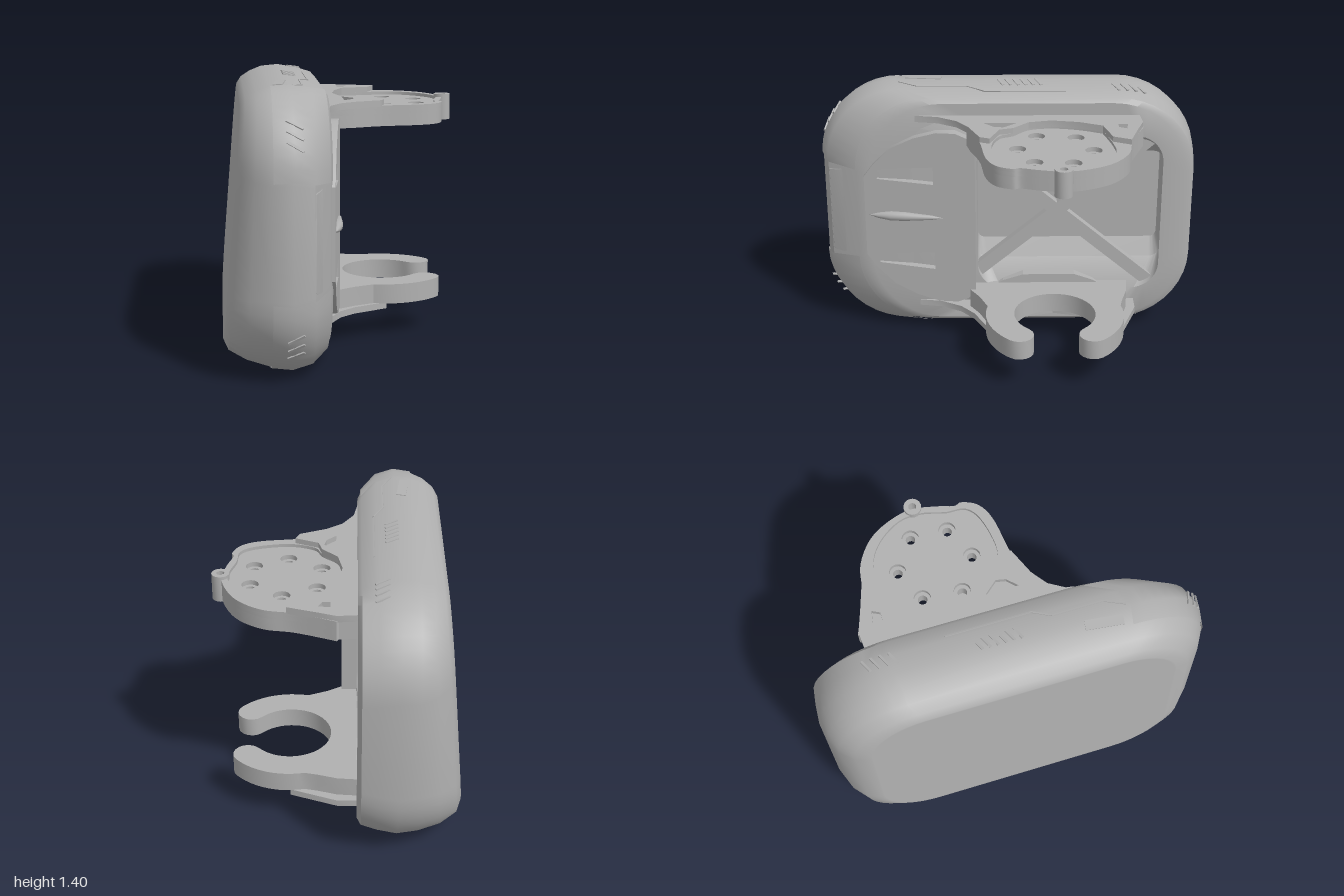
import * as THREE from 'three';
import { toCreasedNormals } from 'three/addons/utils/BufferGeometryUtils.js';

const grey = new THREE.MeshStandardMaterial({ color: 0xb0b0b0, side: THREE.DoubleSide });
grey.name = 'plain grey';
const MID = 0.7; // mirror height of the housing
const N = 10; // segments per rounded corner

function add(parent, name, geometry) {
  const mesh = new THREE.Mesh(geometry, grey);
  mesh.name = name;
  parent.add(mesh);
  return mesh;
}

// Rounded rectangle in the z-y plane; x leans with height by k
function ring({ x, z0, z1, y0, y1, r, k = 0 }) {
  const out = [];
  const centres = [[z1 - r, y1 - r], [z0 + r, y1 - r], [z0 + r, y0 + r], [z1 - r, y0 + r]];
  centres.forEach(([cz, cy], q) => {
    for (let i = 0; i <= N; i++) {
      const a = (q + i / N) * Math.PI / 2;
      const y = cy + r * Math.sin(a);
      out.push(new THREE.Vector3(x + k * (y - MID), y, cz + r * Math.cos(a)));
    }
  });
  return out;
}

// Skin through successive loops, optionally closed round and capped
function loft(loops, crease, closed = true) {
  const n = loops[0].length, pos = [];
  const tri = (...ps) => ps.forEach(p => pos.push(p.x, p.y, p.z));
  for (let l = 0; l < loops.length - 1; l++) {
    for (let i = 0; i < (closed ? n : n - 1); i++) {
      const j = (i + 1) % n, A = loops[l], B = loops[l + 1];
      tri(A[i], B[i], A[j]);
      tri(B[i], B[j], A[j]);
    }
  }
  if (closed) {
    const first = loops[0], last = loops[loops.length - 1];
    const mean = ps => ps.reduce((s, p) => s.add(p), new THREE.Vector3()).divideScalar(n);
    const c0 = mean(first), c1 = mean(last);
    for (let i = 0; i < n; i++) {
      const j = (i + 1) % n;
      tri(c0, first[i], first[j]);
      tri(c1, last[j], last[i]);
    }
  }
  const g = new THREE.BufferGeometry();
  g.setAttribute('position', new THREE.Float32BufferAttribute(pos, 3));
  return toCreasedNormals(g, crease);
}

const circle = (x, z, r) => Array.from({ length: 20 }, (_, i) => {
  const a = i / 20 * Math.PI * 2;
  return [x + r * Math.cos(a), z + r * Math.sin(a)];
});

const smooth = pts => new THREE.SplineCurve(pts.map(p => new THREE.Vector2(...p)))
  .getPoints(pts.length * 4).map(p => [p.x, p.y]);

function extrude(pts, holes, depth) {
  const vec = list => list.map(([a, b]) => new THREE.Vector2(a, b));
  const shape = new THREE.Shape(vec(pts));
  holes.forEach(h => shape.holes.push(new THREE.Path(vec(h))));
  return new THREE.ExtrudeGeometry(shape, { depth, bevelEnabled: false });
}

// Horizontal plate from x-z outlines between two heights
function plate(pts, holes, y0, y1) {
  const flip = list => list.map(([x, z]) => [x, -z]);
  const g = extrude(flip(pts), holes.map(flip), y1 - y0);
  g.rotateX(-Math.PI / 2).translate(0, y0, 0);
  return toCreasedNormals(g, 0.5);
}

function buildHousing(root) {
  const back = { x: -0.585, k: 0.084, z0: -0.8, z1: 0.79, y0: 0.13, y1: 1.30, r: 0.30 };
  const outer = [
    back,
    { x: -0.56, k: 0.08, z0: -0.875, z1: 0.86, y0: 0.085, y1: 1.335, r: 0.34 },
    { x: -0.49, k: 0.05, z0: -0.945, z1: 0.935, y0: 0.045, y1: 1.365, r: 0.38 },
    { x: -0.4, k: 0.01, z0: -0.985, z1: 0.982, y0: 0.01, y1: 1.39, r: 0.42 },
    { x: -0.3, z0: -1, z1: 1, y0: 0.003, y1: 1.397, r: 0.42 },
    { x: -0.2, z0: -0.995, z1: 0.965, y0: 0.022, y1: 1.38, r: 0.42 },
    { x: -0.12, z0: -0.985, z1: 0.81, y0: 0.05, y1: 1.355, r: 0.41 },
    { x: -0.1, z0: -0.94, z1: 0.74, y0: 0.07, y1: 1.335, r: 0.39 },
  ];
  // Flat back, set just inside its edge
  const flat = { ...back, z0: -0.79, z1: 0.78, y0: 0.14, y1: 1.29, r: 0.29 };
  // Open side: flat rim, sloping ledge, then straight walls to the floor
  const cavity = [
    { x: -0.1, z0: -0.82, z1: 0.17, y0: 0.25, y1: 1.15, r: 0.15 },
    { x: -0.19, z0: -0.835, z1: 0.17, y0: 0.4, y1: 1.03, r: 0.06 },
    { x: -0.42, z0: -0.84, z1: 0.17, y0: 0.41, y1: 1.02, r: 0.04 },
  ];
  add(root, 'housing', loft([flat, ...outer, ...cavity].map(ring), 0.6));

  // Raised plates on the two front corners
  const e = 0.012;
  const grown = outer.slice(3, 7).map(o => ring({ ...o, x: o.x + 0.004, z1: o.z1 + e / 2, y0: o.y0 - e / 4, y1: o.y1 + e / 4, r: o.r - e }));
  for (const [name, q] of [['upperFrontCornerPlate', 0], ['lowerFrontCornerPlate', 3]]) {
    add(root, name, loft(grown.map(l => l.slice(q * (N + 1), (q + 1) * (N + 1))), 1, false));
  }

  // Crossed bracing over the cavity, with a tapered support beside each arm
  for (const s of [-1, 1]) {
    const bar = add(root, 'crossBrace', new THREE.BoxGeometry(0.05, 0.07, 1.38));
    bar.position.set(-0.14, 0.715, -0.26);
    bar.rotation.x = s * 0.7;
    const support = [[0.13, 0.46], [0.03, 0.4], [-0.08, 0.365], [-0.36, 0.365], [-0.46, 0.4], [-0.56, 0.46]];
    const g = extrude(support.map(([z, h]) => [-z, MID + s * h]), [], 0.1);
    add(root, 'armSupport', g.rotateY(Math.PI / 2).translate(-0.2, 0, 0));
  }
}

function buildFrontCover(root) {
  // Tapering block: z, face x, face half height, base x, base half height
  const stations = [
    [0.18, -0.065, 0.44, -0.105, 0.56], [0.35, -0.08, 0.48, -0.105, 0.56], [0.6, -0.11, 0.42, -0.125, 0.52],
    [0.78, -0.12, 0.28, -0.15, 0.44], [0.9, -0.165, 0.24, -0.18, 0.34], [0.96, -0.195, 0.23, -0.21, 0.26], [0.975, -0.24, 0.22, -0.25, 0.24],
  ];
  const loops = stations.map(([z, x, h, bx, b]) => [[x, h], [x, -h], [bx, -b], [-0.33, -b], [-0.33, b], [bx, b]]
    .map(([px, dy]) => new THREE.Vector3(px, MID + dy, z)));
  add(root, 'frontCoverBase', loft(loops, 0.3));

  // Sloping face panel with two slots
  const half = [[0.18, 0.42], [0.22, 0.47], [0.28, 0.495], [0.38, 0.495], [0.5, 0.46], [0.62, 0.40], [0.72, 0.30], [0.77, 0.23]];
  const outline = [...half.map(([z, h]) => [-z, MID + h]), ...half.slice().reverse().map(([z, h]) => [-z, MID - h])];
  const slot = s => [[0.4, 0.3], [0.4, 0.2], [0.7, 0.22], [0.7, 0.275]].map(([z, h]) => [-z, MID + s * h]);
  const g = extrude(outline, [slot(1), slot(-1)], 0.055).rotateY(Math.PI / 2);
  const p = g.attributes.position;
  for (let i = 0; i < p.count; i++) p.setX(i, p.getX(i) - 0.075 - 0.125 * (p.getZ(i) - 0.2));
  add(root, 'frontCoverPanel', toCreasedNormals(g, 0.4));

  // Slender fin down the middle
  const profile = [[0, -0.2], [0.012, -0.14], [0.024, 0], [0.026, 0.08], [0.015, 0.15], [0, 0.2]].map(q => new THREE.Vector2(...q));
  const fin = add(root, 'centreFin', new THREE.LatheGeometry(profile, 16).rotateX(Math.PI / 2));
  fin.position.set(-0.06, 0.71, 0.55);
  fin.rotation.y = -0.125;
}

function buildUpperArm(root) {
  const arm = new THREE.Group();
  arm.name = 'upperArm';
  root.add(arm);
  const edge = smooth([[0, -0.695], [0.2, -0.62], [0.35, -0.59], [0.47, -0.51], [0.54, -0.4], [0.575, -0.27], [0.555, -0.14],
    [0.53, -0.05], [0.54, -0.01], [0.5, 0.07], [0.4, 0.12], [0.2, 0.15], [0.06, 0.2]]);
  const outline = [[-0.12, -0.67], [-0.01, -0.68], ...edge, [-0.02, 0.22], [-0.12, 0.22]];
  const spots = [[0.27, -0.42], [0.43, -0.31], [0.1, -0.34], [0.08, -0.14], [0.25, -0.04], [0.42, -0.12]];
  add(arm, 'padBase', plate(outline, spots.map(([x, z]) => circle(x, z, 0.024)), 1.135, 1.2));
  add(arm, 'padTop', plate(outline, spots.map(([x, z]) => circle(x, z, 0.043)), 1.2, 1.225));
  const recess = smooth([[0.05, -0.48], [0.2, -0.515], [0.34, -0.525], [0.45, -0.46], [0.53, -0.34], [0.54, -0.22],
    [0.51, -0.1], [0.5, 0], [0.42, 0.06], [0.25, 0.09], [0.12, 0.05], [0.08, -0.02], [0, -0.1], [-0.025, -0.22], [0, -0.36], [0.05, -0.48]]).slice(0, -1);
  add(arm, 'padRim', plate(outline, [recess], 1.225, 1.242));
  // Raised mounting plate with two pockets
  const mount = [[-0.12, -0.68], [0, -0.69], [0.1, -0.655], [0.24, -0.61], [0.2, -0.52], [0.05, -0.48], [0, -0.36], [-0.025, -0.22],
    [0, -0.1], [0.08, -0.02], [0.1, 0.05], [0.22, 0.1], [0.2, 0.15], [0.06, 0.21], [-0.02, 0.27], [-0.08, 0.37], [-0.1, 0.49], [-0.12, 0.49]];
  const pockets = [[[0.03, -0.61], [0.09, -0.6], [0.07, -0.56], [0.03, -0.56]], [[0.01, -0.04], [0.07, 0.03], [0.06, 0.08], [0.01, 0.13]]];
  add(arm, 'mountPlate', plate(mount, pockets, 1.235, 1.27));
  add(arm, 'pinSocket', plate(circle(0.58, -0.255, 0.045), [circle(0.58, -0.255, 0.02)], 1.12, 1.258));
}

function buildLowerArm(root) {
  const arm = new THREE.Group();
  arm.name = 'lowerArm';
  root.add(arm);
  const cx = 0.25, cz = -0.24, open = 0.72, ri = 0.215, ro = 0.365;
  const arc = (x, z, r, a0, a1, n) => Array.from({ length: n + 1 }, (_, i) => {
    const a = a0 + (a1 - a0) * i / n;
    return [x + r * Math.cos(a), z + r * Math.sin(a)];
  });
  const rm = (ri + ro) / 2, rt = (ro - ri) / 2;
  const tip = s => [cx + rm * Math.cos(open), cz + s * rm * Math.sin(open)];
  // Open claw with rounded tips on a broad root
  const outline = [
    [-0.12, -0.65], [0, -0.64], [0.1, -0.61],
    ...arc(cx, cz, ro, -1.8, -open, 12),
    ...arc(...tip(-1), rt, -open, -open + Math.PI, 8).slice(1),
    ...arc(cx, cz, ri, -open, -2 * Math.PI + open, 36).slice(1),
    ...arc(...tip(1), rt, open - Math.PI, open, 8).slice(1),
    ...arc(cx, cz, ro, open, 1.8, 12).slice(1),
    [0.06, 0.16], [-0.02, 0.21], [-0.12, 0.21],
  ];
  add(arm, 'claw', plate(outline, [], 0.18, 0.285));
  const mount = [[-0.12, -0.69], [0, -0.69], [0.24, -0.6], [0.2, -0.5], [0.05, -0.42], [0, -0.24],
    [0.05, -0.06], [0.2, 0.04], [0.24, 0.1], [0.06, 0.19], [-0.02, 0.26], [-0.08, 0.37], [-0.1, 0.49], [-0.12, 0.49]];
  add(arm, 'mountPlate', plate(mount, [], 0.148, 0.182));
}

// Fine trim, repeated on the top and the underside
function buildTrim(root) {
  // Height above the middle and slope of the housing at x
  const surface = x => (x < -0.3 ? [0.697 + 0.07 * (x + 0.3), 0.07]
    : x < -0.2 ? [0.697 - 0.17 * (x + 0.3), -0.17] : [0.68 - 0.31 * (x + 0.2), -0.31]);
  for (const s of [1, -1]) {
    const side = s > 0 ? 'upper' : 'lower';
    const strip = (name, x, z, w, d, turn) => {
      const m = add(root, side + name, new THREE.BoxGeometry(w, 0.008, d));
      const [y, slope] = surface(x);
      const over = Math.max(0, Math.abs(z) - 0.58);
      const drop = 0.42 - Math.sqrt(0.42 ** 2 - over ** 2);
      m.position.set(x, MID + s * (y - drop), z);
      m.rotation.set(0, turn, s * Math.atan(slope), 'ZYX');
    };
    for (let i = 0; i < 4; i++) strip('RearSlit', -0.215, -0.7 + i * 0.045, 0.075, 0.012, 0.45);
    for (let i = 0; i < 6; i++) strip('Vent', -0.27, 0.04 - i * 0.04, 0.07, 0.014, 0.4);
    strip('Window', -0.34, 0.45, 0.05, 0.19, -0.12);
    // Stepped trim line
    const path = [[-0.18, -0.3], [-0.18, 0.13], [-0.23, 0.22], [-0.23, 0.48], [-0.28, 0.58]];
    path.slice(1).forEach(([x, z], i) => {
      const [px, pz] = path[i];
      strip('TrimLine', (x + px) / 2, (z + pz) / 2, 0.008, Math.hypot(x - px, z - pz), Math.atan2(x - px, z - pz));
    });
    // Slits on the front corner plates
    for (let i = 0; i < 3; i++) {
      const a = 0.42 + i * 0.13;
      const m = add(root, side + 'CornerSlit', new THREE.BoxGeometry(0.09, 0.012, 0.008));
      m.position.set(-0.29, MID + s * (0.28 + 0.428 * Math.sin(a)), 0.58 + 0.43 * Math.cos(a));
      m.rotation.set(-s * a, 0, -s * 0.55);
    }
  }
}

export function createModel() {
  const root = new THREE.Group();
  root.name = 'housingWithArms';
  buildHousing(root);
  buildFrontCover(root);
  buildUpperArm(root);
  buildLowerArm(root);
  buildTrim(root);
  return root;
}
